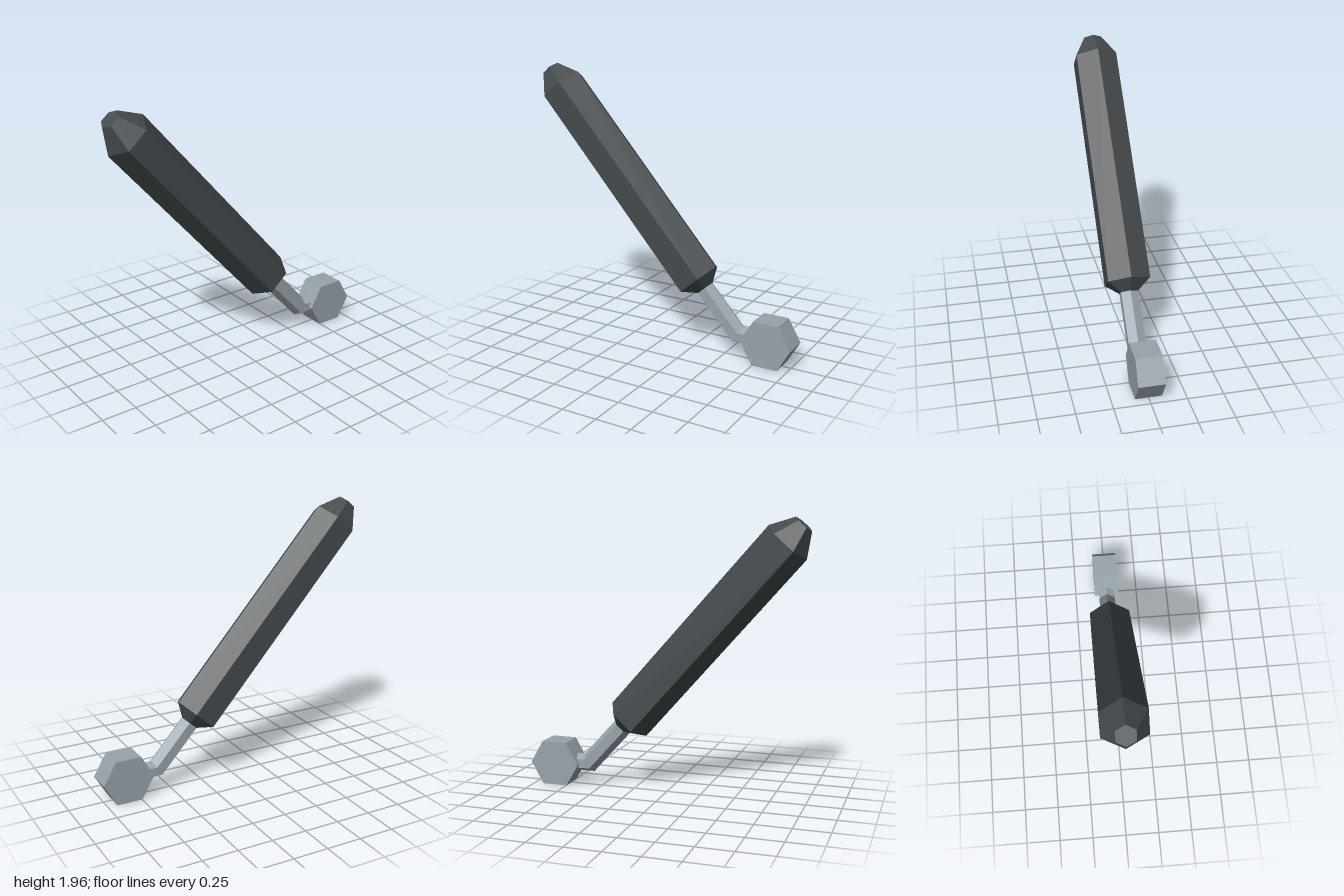
import * as THREE from 'three';

const SIDES = 6;

// Capped six-sided loft; each ring is { y, z, vy, vz, r }:
// centre, direction to its first corner, and radius across x.
function loft(rings) {
  const pos = [];
  const corners = rings.map(({ y, z, vy, vz, r }) =>
    Array.from({ length: SIDES }, (_, k) => {
      const a = (k / SIDES) * Math.PI * 2;
      return [r * Math.sin(a), y + vy * Math.cos(a), z + vz * Math.cos(a)];
    }));
  const tri = (a, b, c) => pos.push(...a, ...b, ...c);
  for (let i = 0; i < corners.length - 1; i++) {
    for (let k = 0; k < SIDES; k++) {
      const n = (k + 1) % SIDES;
      const lo = corners[i], hi = corners[i + 1];
      tri(lo[k], lo[n], hi[n]);
      tri(lo[k], hi[n], hi[k]);
    }
  }
  const first = corners[0], last = corners[corners.length - 1];
  for (let k = 1; k < SIDES - 1; k++) {
    tri(first[0], first[k + 1], first[k]);
    tri(last[0], last[k], last[k + 1]);
  }
  const geometry = new THREE.BufferGeometry();
  geometry.setAttribute('position', new THREE.Float32BufferAttribute(pos, 3));
  geometry.computeVertexNormals();
  return geometry;
}

// Ring square to the sloping handle axis, at distance t from the handle's lower shoulder
const DY = 0.75, DZ = 0.661;
const sloped = (t, r) => ({ y: 0.537 + DY * t, z: -0.285 + DZ * t, vy: -DZ * r, vz: DY * r, r });

export function createModel() {
  const grip = new THREE.MeshStandardMaterial({ color: 0x454a4d });
  grip.name = 'dark grip';
  const metal = new THREE.MeshStandardMaterial({ color: 0x98a3aa });
  metal.name = 'grey metal';

  const group = new THREE.Group();
  const add = (name, geometry, material) => {
    const mesh = new THREE.Mesh(geometry, material);
    mesh.name = name;
    group.add(mesh);
    return mesh;
  };

  // Handle with tapered ends
  add('handle', loft([
    sloped(-0.075, 0.07), sloped(0, 0.172), sloped(1.702, 0.172), sloped(1.862, 0.072),
  ]), grip);

  // Bent shaft, mitred where it turns level
  add('shaft', loft([
    { y: 0.19, z: -0.72, vy: -0.0635, vz: 0, r: 0.07 },
    { y: 0.19, z: -0.5975, vy: -0.0635, vz: 0.0375, r: 0.07 },
    sloped(-0.07, 0.07),
  ]), metal);

  // Hexagonal head lying across the shaft, one corner up
  const head = new THREE.CylinderGeometry(0.185, 0.185, 0.185, SIDES).toNonIndexed();
  head.rotateZ(Math.PI / 2);
  head.computeVertexNormals();
  add('head', head, metal).position.set(0, 0.185, -0.84);

  return group;
}
